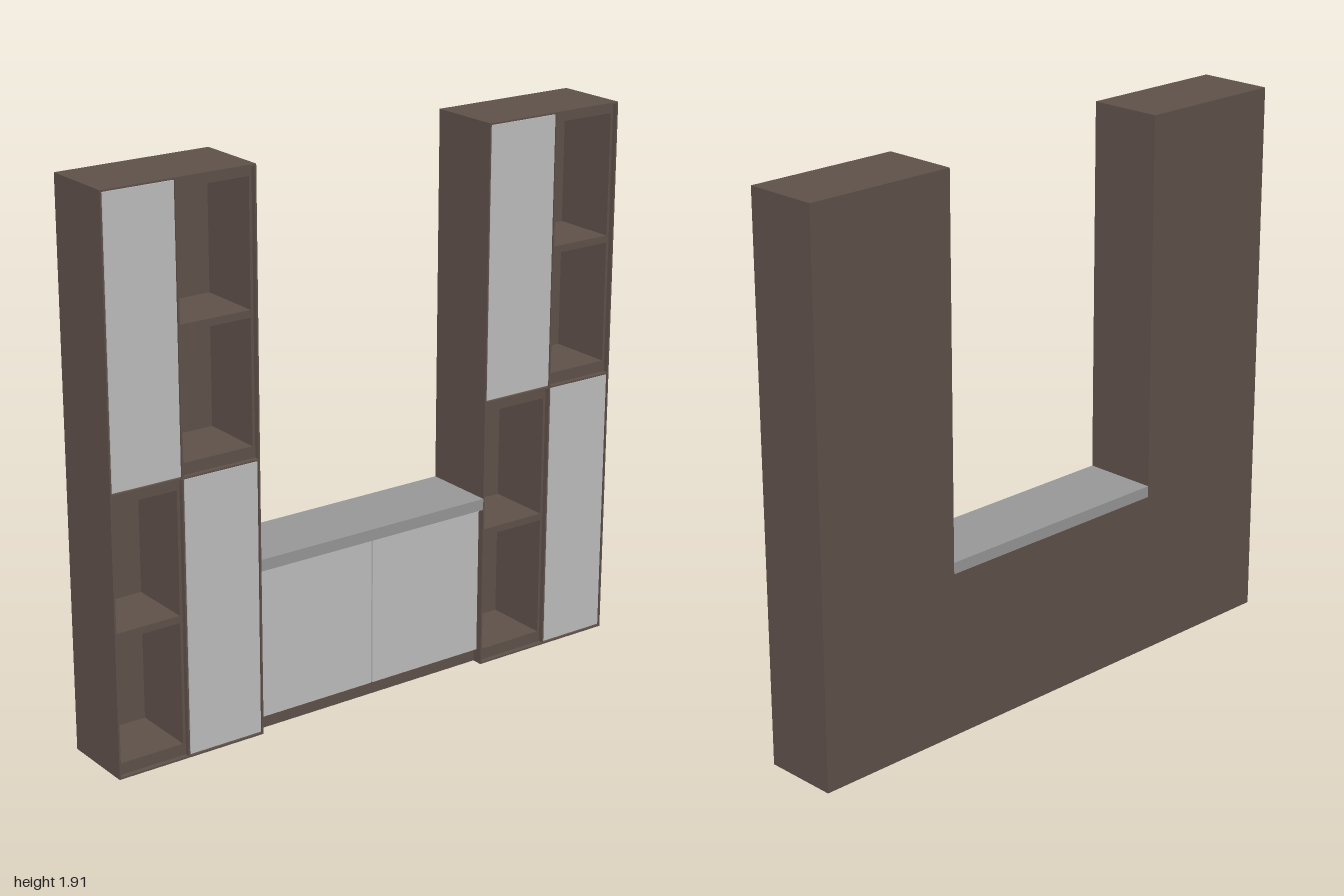
import * as THREE from 'three';

const mat = (name, color) => {
  const m = new THREE.MeshStandardMaterial({ color });
  m.name = name;
  return m;
};

const Z = 0.1325;        // half depth of the unit
const FRAME_Z = 0.115;   // front of the inner frames, behind the doors
const BACK = 0.015;      // back panel thickness
const SKIN = 0.006;      // thin outer panels

export function createModel() {
  const group = new THREE.Group();
  const wood = mat('darkWood', 0x5e5049);
  const door = mat('lightGreyDoor', 0xbcbcbc);
  const counter = mat('greyCounter', 0x969696);

  // Box given by its limits
  const box = (parent, name, material, x0, x1, y0, y1, z0, z1) => {
    const mesh = new THREE.Mesh(new THREE.BoxGeometry(x1 - x0, y1 - y0, z1 - z0), material);
    mesh.position.set((x0 + x1) / 2, (y0 + y1) / 2, (z0 + z1) / 2);
    mesh.name = name;
    parent.add(mesh);
  };

  const rect = (path, x0, x1, y0, y1) => path
    .moveTo(x0, y0).lineTo(x1, y0).lineTo(x1, y1).lineTo(x0, y1).lineTo(x0, y0);

  // Open cell: a frame with two niches, one above the other
  const openCell = (parent, x0, x1, y0, y1) => {
    const shape = new THREE.Shape();
    rect(shape, x0, x1, y0, y1);
    const holes = [[0.04, 0.462], [0.487, 0.91]];
    for (const [a, b] of holes) {
      const hole = new THREE.Path();
      rect(hole, x0 + 0.01, x1 - 0.01, y0 + a, y0 + b);
      shape.holes.push(hole);
    }
    const depth = FRAME_Z + Z - BACK;
    const geo = new THREE.ExtrudeGeometry(shape, { depth, bevelEnabled: false });
    const mesh = new THREE.Mesh(geo, wood);
    mesh.position.z = -Z + BACK;
    mesh.name = 'openShelves';
    parent.add(mesh);
  };

  // Closed cell: a solid carcass with an inset door
  const doorCell = (parent, x0, x1, y0, y1) => {
    box(parent, 'carcass', wood, x0, x1, y0, y1, -Z + BACK, 0.11);
    box(parent, 'towerDoor', door, x0 + 0.003, x1 - 0.003, y0 + 0.004, y1 - 0.002, 0.11, Z - 0.002);
  };

  // Tower: two columns, doors and shelves in a chequered layout
  const tower = (name, x0, xm, x1) => {
    const t = new THREE.Group();
    t.name = name;
    const H = 1.91, mid = 0.957;
    box(t, 'backPanel', wood, x0, x1, 0, H, -Z, -Z + BACK);
    for (const [a, b] of [[x0, x0 + SKIN], [x1 - SKIN, x1]]) {
      box(t, 'sidePanel', wood, a, b, 0, H, -Z + BACK, Z);
    }
    for (const y of [0, mid - SKIN / 2, H - SKIN]) {
      box(t, 'levelPanel', wood, x0 + SKIN, x1 - SKIN, y, y + SKIN, -Z + BACK, Z);
    }
    box(t, 'divider', wood, xm - 0.003, xm + 0.003, SKIN, H - SKIN, -Z + BACK, Z - 0.001);
    const left = [x0 + SKIN, xm - 0.003], right = [xm + 0.003, x1 - SKIN];
    const low = [SKIN, mid - SKIN / 2], high = [mid + SKIN / 2, H - SKIN];
    doorCell(t, ...left, ...high);
    openCell(t, ...right, ...high);
    openCell(t, ...left, ...low);
    doorCell(t, ...right, ...low);
    group.add(t);
  };
  tower('rightTower', -1, -0.739, -0.453);
  tower('leftTower', 0.453, 0.735, 1);

  // Low cabinet between the towers
  const low = new THREE.Group();
  low.name = 'lowCabinet';
  box(low, 'cabinetBody', wood, -0.453, 0.453, 0, 0.575, -Z, 0.095);
  box(low, 'cabinetDoor', door, -0.45, -0.003, 0.05, 0.572, 0.095, 0.113);
  box(low, 'cabinetDoor', door, 0.003, 0.45, 0.05, 0.572, 0.095, 0.113);
  box(low, 'counterTop', counter, -0.453, 0.453, 0.575, 0.615, -Z, Z);
  group.add(low);

  return group;
}
